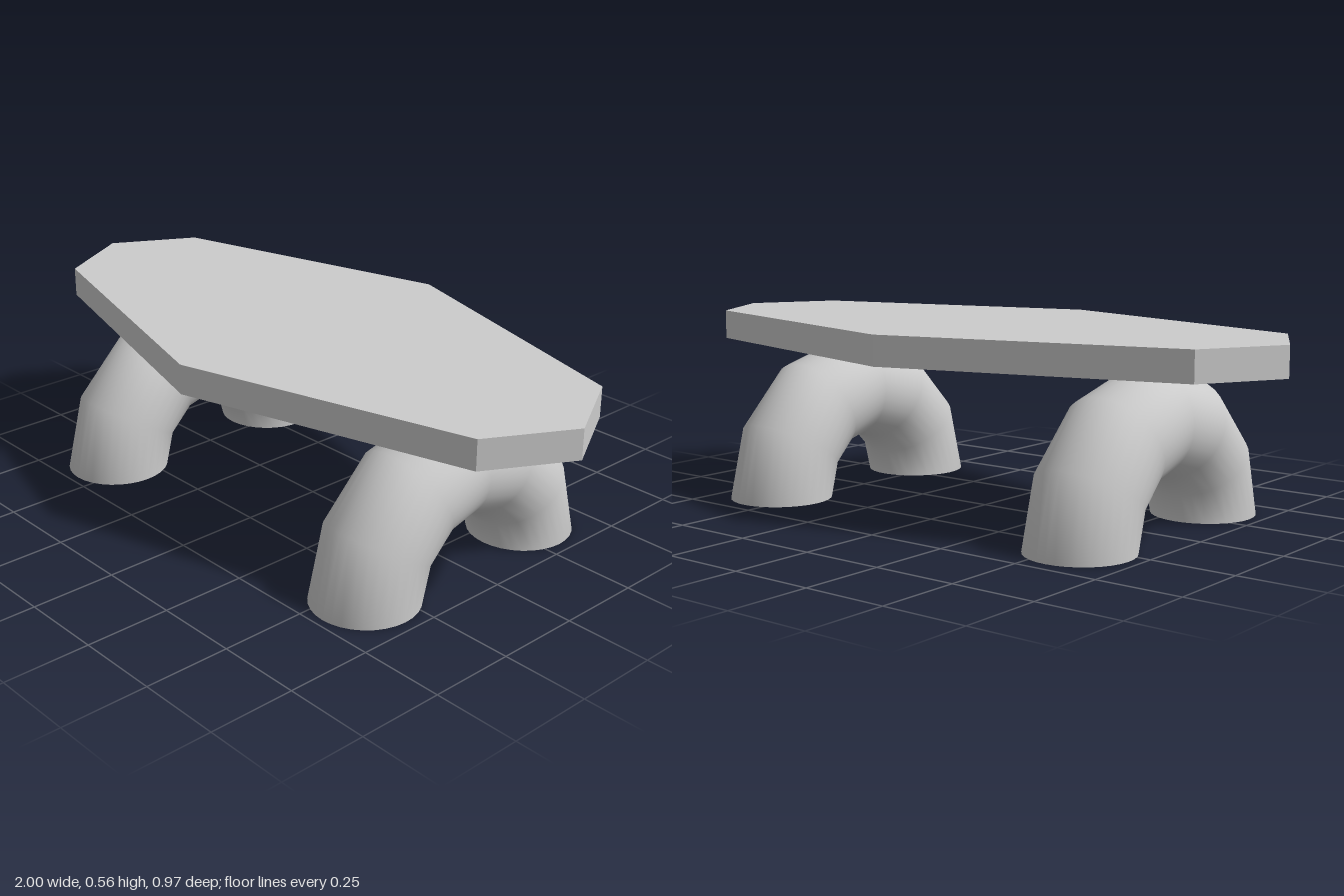
import * as THREE from 'three';

export function createModel() {
  const model = new THREE.Group();
  const topMaterial = new THREE.MeshStandardMaterial({ color: 0xcccccc, flatShading: true });
  const legMaterial = new THREE.MeshStandardMaterial({ color: 0xcccccc, side: THREE.DoubleSide });

  // Eight-sided slab, pointed at both ends and both sides
  const outline = [
    [1, 0], [0.865, 0.243], [0, 0.487], [-0.865, 0.243],
    [-1, 0], [-0.865, -0.243], [0, -0.487], [0.865, -0.243],
  ].map(([x, z]) => new THREE.Vector2(x, z));
  const slab = new THREE.ExtrudeGeometry(new THREE.Shape(outline), { depth: 0.088, bevelEnabled: false });
  slab.rotateX(-Math.PI / 2);
  const tableTop = new THREE.Mesh(slab, topMaterial);
  tableTop.name = 'tableTop';
  tableTop.position.y = 0.467;
  model.add(tableTop);

  // Two open half-ring legs, each arching from front to back in six segments
  const arch = new THREE.TorusGeometry(0.3125, 0.1545, 32, 6, Math.PI);
  arch.rotateY(Math.PI / 2);
  for (const side of [1, -1]) {
    const leg = new THREE.Mesh(arch, legMaterial);
    leg.name = side > 0 ? 'leftArchLeg' : 'rightArchLeg';
    leg.position.set(side * 0.563, 0, 0.01);
    model.add(leg);
  }
  return model;
}
